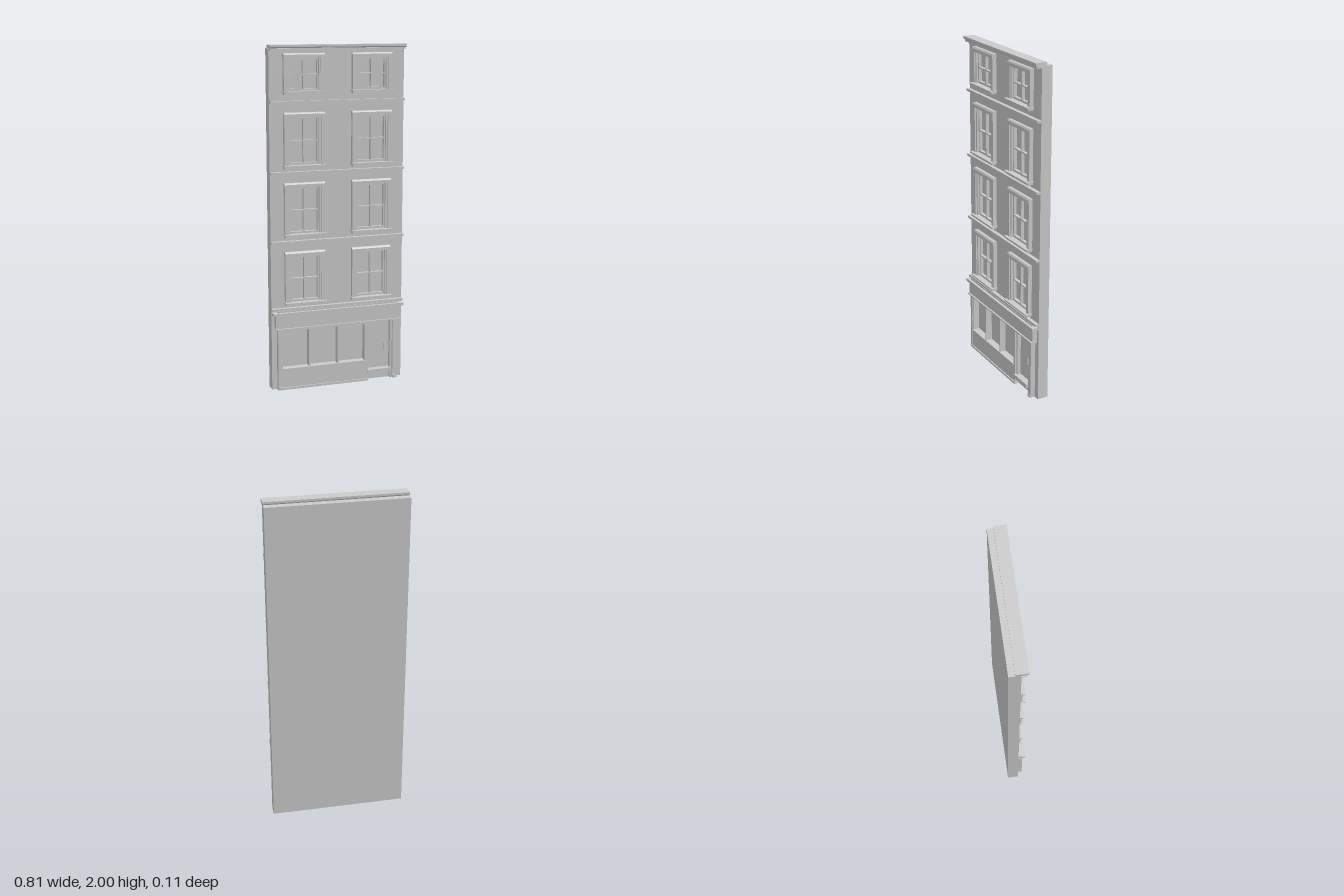
import * as THREE from 'three';

const WALL = 0.01; // z of the wall face
const GLASS = -0.005; // z of the recessed panes
const mat = new THREE.MeshStandardMaterial({ color: 0xcccccc, flatShading: true });

export function createModel() {
  const model = new THREE.Group();
  model.name = 'townhouseFacade';

  const add = (parent, name, geo) => {
    const m = new THREE.Mesh(geo, mat);
    m.name = name;
    parent.add(m);
  };
  // box given by its extents
  const box = (parent, name, x0, x1, y0, y1, z0, z1) => {
    const g = new THREE.BoxGeometry(x1 - x0, y1 - y0, z1 - z0);
    g.translate((x0 + x1) / 2, (y0 + y1) / 2, (z0 + z1) / 2);
    add(parent, name, g);
  };
  // horizontal moulding: [z, y] profile swept along x
  const moulding = (parent, name, x0, x1, profile) => {
    const shape = new THREE.Shape(profile.map(([z, y]) => new THREE.Vector2(-z, y)));
    const g = new THREE.ExtrudeGeometry(shape, { depth: x1 - x0, bevelEnabled: false });
    g.rotateY(Math.PI / 2);
    g.translate(x0, 0, 0);
    add(parent, name, g);
  };
  // flat panel with rectangular holes, each rectangle as [x0, x1, y0, y1]
  const corners = ([x0, x1, y0, y1]) => [[x0, y0], [x1, y0], [x1, y1], [x0, y1]]
    .map(([x, y]) => new THREE.Vector2(x, y));
  const panel = (parent, name, outline, holes, z0, z1) => {
    const shape = new THREE.Shape(corners(outline));
    shape.holes = holes.map((h) => new THREE.Path(corners(h)));
    const g = new THREE.ExtrudeGeometry(shape, { depth: z1 - z0, bevelEnabled: false });
    g.translate(0, 0, z0);
    add(parent, name, g);
  };

  // openings
  const floors = [[0.504, 0.822], [0.907, 1.223], [1.305, 1.623], [1.724, 1.953]];
  const windows = floors.flatMap(([y0, y1]) => [-0.203, 0.203].map((cx) => ({ cx, y0, y1 })));
  const shopPanes = [[-0.345, -0.185], [-0.178, -0.009], [-0.002, 0.162]]
    .map(([a, b]) => [a, b, 0.128, 0.355]);
  const doorway = [0.192, 0.327, 0.066, 0.36];

  // main wall: solid core and a pierced face
  box(model, 'wallCore', -0.404, 0.404, 0, 1.98, -0.055, GLASS);
  const openings = windows.map(({ cx, y0, y1 }) => [cx - 0.087, cx + 0.087, y0 + 0.02, y1 - 0.026]);
  panel(model, 'wallFace', [-0.404, 0.404, 0, 1.98], [...openings, ...shopPanes, doorway], GLASS, WALL);

  // roof cornice
  box(model, 'corniceBed', -0.402, 0.402, 1.969, 1.981, WALL, 0.039);
  moulding(model, 'corniceCap', -0.405, 0.405,
    [[-0.017, 1.982], [0.044, 1.982], [0.048, 1.988], [0.048, 2], [-0.02, 2], [-0.02, 1.988]]);

  // string courses between the floors
  for (const y of [0.484, 0.88, 1.281, 1.682]) {
    box(model, 'stringCourse', -0.404, 0.404, y - 0.007, y + 0.007, WALL, 0.033);
  }

  // four-pane window, bottom y0, top y1, centred on cx
  function addWindow({ cx, y0, y1 }) {
    const w = new THREE.Group();
    w.name = 'window';
    w.position.x = cx;
    model.add(w);
    const yIn = y0 + 0.02, yHead = y1 - 0.026;
    // jambs on both sides
    for (const x of [-0.109, 0.109]) {
      box(w, 'jamb', x - 0.011, x + 0.011, yIn, yHead, WALL, 0.034);
    }
    for (const x of [-0.0925, 0.0925]) {
      box(w, 'innerJamb', x - 0.0055, x + 0.0055, yIn, yHead, WALL, 0.026);
    }
    // lintel with a sloped top
    moulding(w, 'lintel', -0.121, 0.121,
      [[WALL, yHead], [0.036, yHead], [0.036, y1 - 0.008], [0.028, y1], [WALL, y1]]);
    // sill
    box(w, 'sillBase', -0.12, 0.12, y0, y0 + 0.011, WALL, 0.041);
    box(w, 'sill', -0.126, 0.126, y0 + 0.012, y0 + 0.02, WALL, 0.052);
    // sash frame with glazing bars
    const mid = (yIn + yHead) / 2;
    const panes = [[yIn + 0.012, mid - 0.004], [mid + 0.004, yHead - 0.01]].flatMap(([a, b]) =>
      [[-0.079, -0.004, a, b], [0.004, 0.079, a, b]]);
    panel(w, 'sash', [-0.087, 0.087, yIn, yHead], panes, GLASS, WALL + 0.004);
  }
  windows.forEach(addWindow);

  // shopfront
  const shop = new THREE.Group();
  shop.name = 'shopfront';
  model.add(shop);

  // fascia with cornice above and bead below
  box(shop, 'fascia', -0.385, 0.385, 0.37, 0.452, WALL, 0.041);
  box(shop, 'fasciaBead', -0.388, 0.388, 0.367, 0.374, WALL, 0.051);
  box(shop, 'shopCornice', -0.402, 0.402, 0.452, 0.468, WALL, 0.052);
  box(shop, 'shopCorniceTop', -0.37, 0.37, 0.468, 0.477, WALL, 0.036);

  // display front with three window openings
  panel(shop, 'displayFront', [-0.355, 0.18, 0, 0.368], shopPanes, WALL, 0.035);
  box(shop, 'displaySill', -0.35, 0.168, 0.12, 0.128, WALL, 0.04);
  box(shop, 'plinth', -0.358, 0.184, 0, 0.013, WALL, 0.042);

  // pilasters with base blocks
  for (const [a, b] of [[-0.373, -0.355], [0.34, 0.368]]) {
    box(shop, 'pilaster', a, b, 0, 0.368, WALL, 0.039);
    box(shop, 'pilasterBase', a, b, 0, 0.016, WALL, 0.042);
  }

  // door frame, door, step and handle
  box(shop, 'doorFrame', 0.18, 0.192, 0.066, 0.368, WALL, 0.026);
  box(shop, 'doorFrame', 0.327, 0.34, 0, 0.368, WALL, 0.026);
  box(shop, 'doorHead', 0.192, 0.327, 0.36, 0.368, WALL, 0.026);
  box(shop, 'door', 0.192, 0.327, 0.066, 0.36, GLASS, 0.003);
  box(shop, 'doorStep', 0.18, 0.325, 0.044, 0.066, WALL, 0.043);
  box(shop, 'doorHandle', 0.293, 0.297, 0.177, 0.217, 0.012, 0.017);
  for (const y of [0.182, 0.212]) {
    box(shop, 'handleMount', 0.293, 0.297, y - 0.002, y + 0.002, 0.003, 0.012);
  }

  return model;
}
